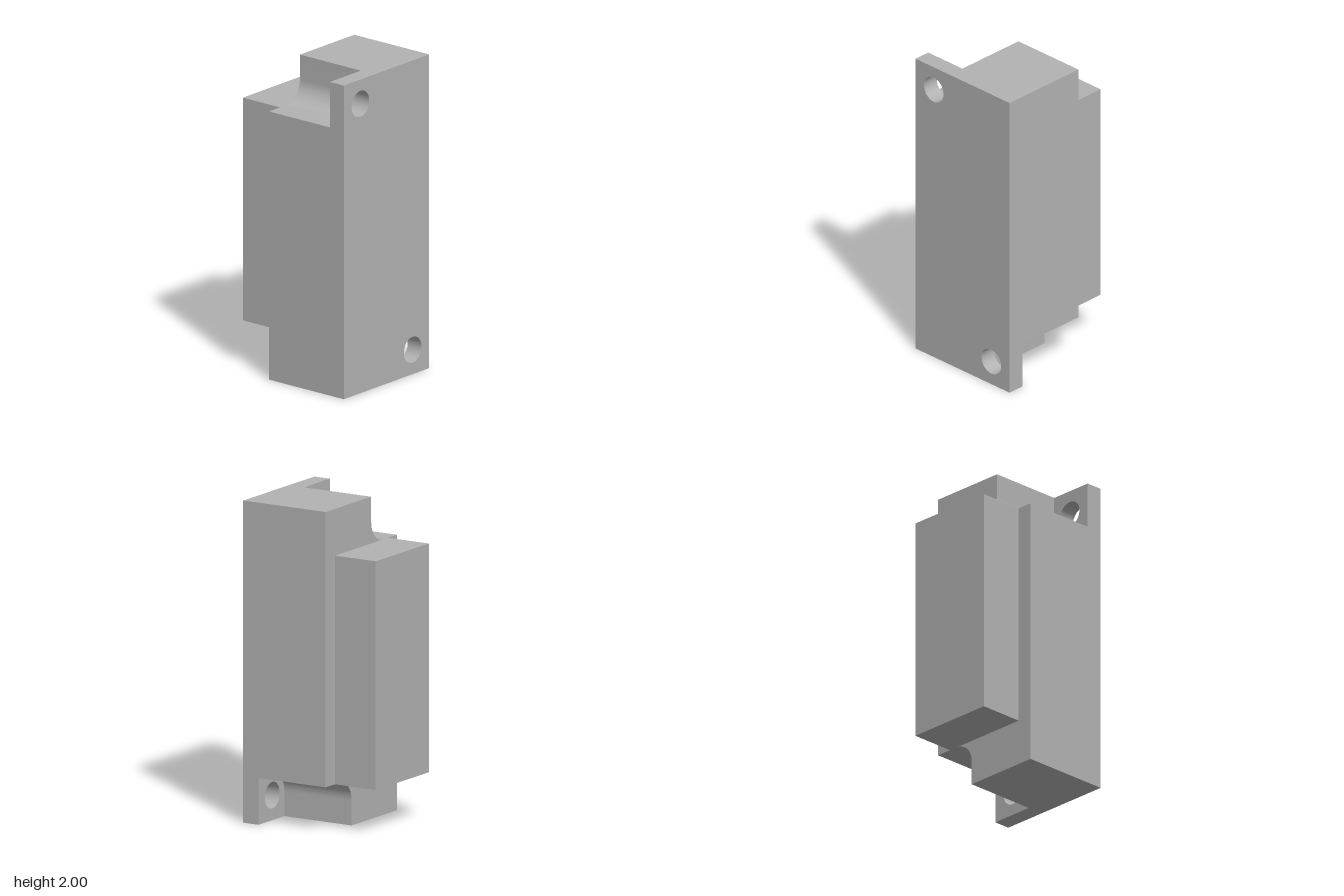
import * as THREE from 'three';
import { toCreasedNormals } from 'three/addons/utils/BufferGeometryUtils.js';

const W = 0.4, H = 2;                     // half width, height
const BACK = -0.15, STEP = 0.335, FRONT = 0.445;
const HX = 0.245, HY = 0.155;             // screw hole offset from centre line / end
const R = 0.135;                          // corner pocket radius

export function createModel() {
  const group = new THREE.Group();
  const grey = new THREE.MeshStandardMaterial({ color: 0xb2b2b2 });
  grey.name = 'grey';

  const add = (name, geometry) => {
    const mesh = new THREE.Mesh(geometry, grey);
    mesh.name = name;
    group.add(mesh);
    return mesh;
  };
  const extrude = (shape, z0, z1) => {
    const g = new THREE.ExtrudeGeometry(shape, { depth: z1 - z0, bevelEnabled: false, curveSegments: 24 });
    g.translate(0, 0, z0);
    return toCreasedNormals(g, 0.5);
  };

  // Front plate with two diagonal screw holes
  const plate = new THREE.Shape();
  plate.moveTo(-W, 0).lineTo(W, 0).lineTo(W, H).lineTo(-W, H).closePath();
  for (const [x, y] of [[HX, HY], [-HX, H - HY]]) {
    plate.holes.push(new THREE.Path().absarc(x, y, 0.083, 0, Math.PI * 2, true));
  }
  add('frontPlate', extrude(plate, STEP, FRONT));

  // Main body with rounded pockets behind the screw holes
  const body = new THREE.Shape();
  body.moveTo(-W, 0);
  body.lineTo(HX - R, 0);
  body.lineTo(HX - R, HY);
  body.absarc(HX, HY, R, Math.PI, Math.PI / 2, true);
  body.lineTo(W, HY + R);
  body.lineTo(W, H);
  body.lineTo(R - HX, H);
  body.lineTo(R - HX, H - HY);
  body.absarc(-HX, H - HY, R, 0, -Math.PI / 2, true);
  body.lineTo(-W, H - HY - R);
  body.closePath();
  add('mainBody', extrude(body, BACK, STEP));

  // Raised block on the back
  const bottom = HY + R, top = H - HY - R;
  add('backBlock', new THREE.BoxGeometry(0.594, top - bottom, FRONT + BACK))
    .position.set(0, H / 2, (BACK - FRONT) / 2);

  return group;
}
